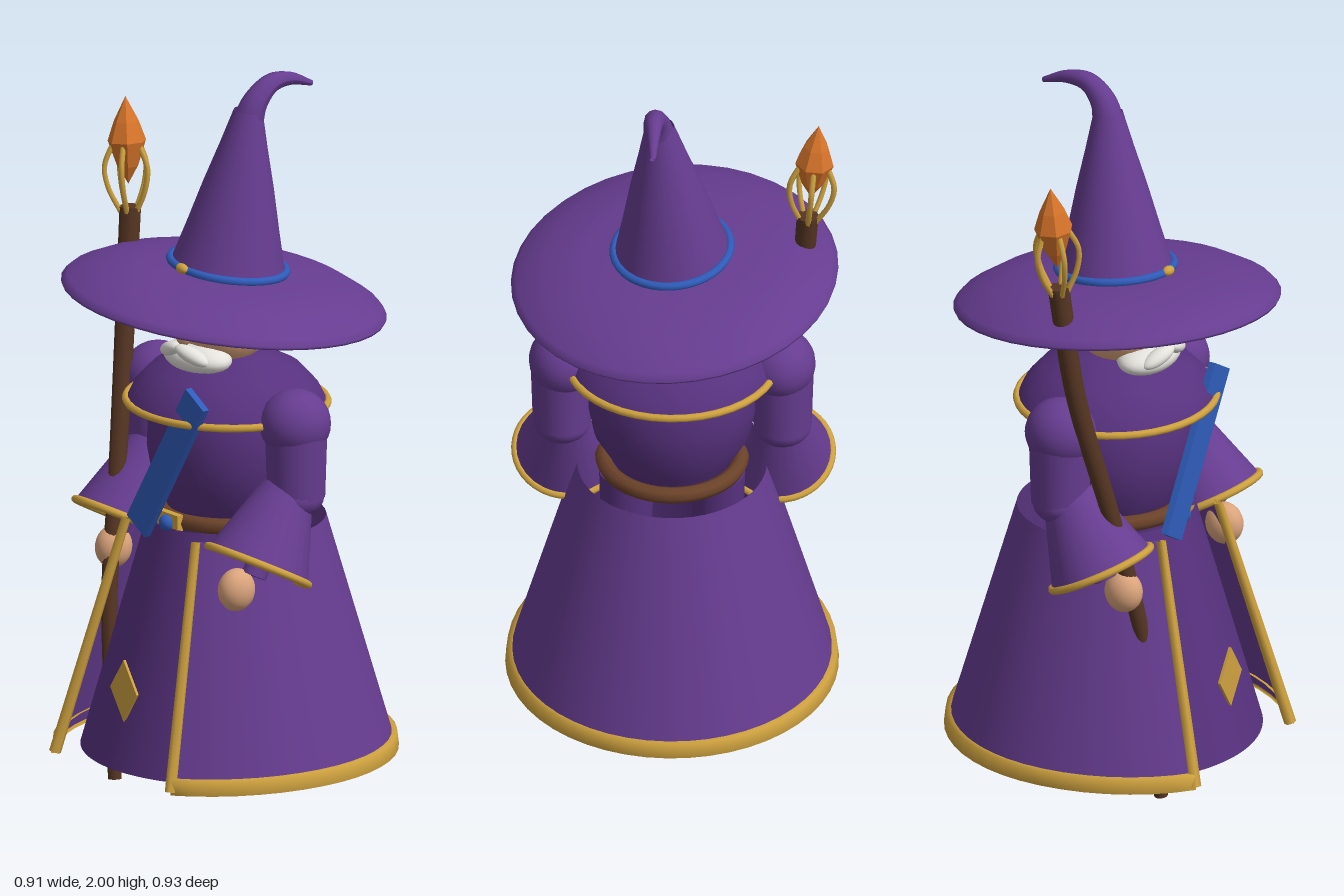
import * as THREE from 'three';
import { RoundedBoxGeometry } from 'three/addons/geometries/RoundedBoxGeometry.js';

const V = (x, y, z) => new THREE.Vector3(x, y, z);
const mat = (name, color, double) => {
  const m = new THREE.MeshStandardMaterial({ color });
  m.name = name;
  if (double) m.side = THREE.DoubleSide;
  return m;
};

export function createModel() {
  const purple = mat('purple cloth', 0x663c90, true);
  const dark = mat('dark purple cloth', 0x57317e, true);
  const gold = mat('gold', 0xcfa23f, true);
  const blue = mat('blue', 0x2f5cba);
  const leather = mat('brown leather', 0x6b4229);
  const wood = mat('dark wood', 0x553522);
  const skin = mat('skin', 0xdba47c);
  const white = mat('white hair', 0xe4e2dc);
  const flameColor = mat('flame orange', 0xd9752a);
  flameColor.flatShading = true;
  const black = mat('black', 0x2a2422);

  const model = new THREE.Group();
  const add = (name, geo, material, pos = [0, 0, 0], rot = [0, 0, 0], parent = model) => {
    const m = new THREE.Mesh(geo, material);
    m.name = name;
    m.position.set(...pos);
    m.rotation.set(...rot);
    parent.add(m);
    return m;
  };
  const ball = (name, material, pos, size, rot, parent) => {
    const m = add(name, new THREE.SphereGeometry(1, 24, 16), material, pos, rot, parent);
    m.scale.set(...size);
    return m;
  };
  const lathe = (pts, start = 0, length = Math.PI * 2) =>
    new THREE.LatheGeometry(pts.map(p => new THREE.Vector2(...p)), 40, start, length);
  const ring = (r, t) => new THREE.TorusGeometry(r, t, 8, 40).rotateX(Math.PI / 2);
  // Tube whose radius changes from r0 to r1, with closed ends
  const taperedTube = (points, r0, r1, seg = 24, sides = 12) => {
    const curve = new THREE.CatmullRomCurve3(points);
    const geo = new THREE.TubeGeometry(curve, seg, 1, sides);
    const p = geo.attributes.position, v = V(0, 0, 0);
    for (let i = 0; i < p.count; i++) {
      const t = Math.floor(i / (sides + 1)) / seg;
      const c = curve.getPointAt(t);
      v.fromBufferAttribute(p, i).sub(c).multiplyScalar(r0 + (r1 - r0) * t).add(c);
      p.setXYZ(i, v.x, v.y, v.z);
    }
    geo.computeVertexNormals();
    return geo;
  };
  // Robe surfaces are a little deeper toward the front
  const deepen = geo => {
    const p = geo.attributes.position;
    for (let i = 0; i < p.count; i++) p.setZ(i, p.getZ(i) * (p.getZ(i) > 0 ? 1.12 : 1.02));
    geo.computeVertexNormals();
    return geo;
  };

  // Robe skirt, open at the front, with inner panel and gold hem
  const open = 0.6, sweep = Math.PI * 2 - 2 * open;
  add('skirt', deepen(lathe([[0.447, 0.1], [0.26, 0.755]], open, sweep)), purple);
  add('hem', deepen(lathe([[0.445, 0.09], [0.457, 0.09], [0.452, 0.133], [0.43, 0.133]], open, sweep)), gold);
  add('frontPanel', lathe([[0.41, 0.1], [0.225, 0.76]], -0.8, 1.6), dark);
  for (const s of [-1, 1]) {
    add('frontTrim', taperedTube([V(s * 0.15, 0.755, 0.245), V(s * 0.25, 0.095, 0.415)], 0.013, 0.017, 4, 6), gold);
  }
  const diamond = new THREE.Shape([[0, 0.088], [-0.057, 0], [0, -0.088], [0.057, 0]].map(p => new THREE.Vector2(...p)));
  add('diamond', new THREE.ExtrudeGeometry(diamond, { depth: 0.008, bevelEnabled: false }), gold, [0, 0.32, 0.37]);

  // Torso, belt, buckle, shoulder cape and sash
  add('torso', lathe([[0.15, 0.74], [0.175, 0.79], [0.215, 0.86], [0.232, 0.95], [0.228, 1.04], [0.2, 1.12], [0.1, 1.2]])
    .scale(1, 1, 0.9), dark, [0, 0, 0.013]);
  add('belt', ring(0.188, 0.023), leather, [0, 0.775, 0.003]);
  add('buckle', new THREE.BoxGeometry(0.085, 0.055, 0.02), gold, [0, 0.772, 0.212]);
  ball('buckleGem', blue, [0, 0.772, 0.225], [0.023, 0.023, 0.02]);
  add('cape', lathe([[0.285, 1.085], [0.265, 1.125], [0.215, 1.178], [0.13, 1.22], [0.07, 1.235]])
    .scale(1, 1, 0.94), dark, [0, 0, 0.012]);
  add('capeTrim', ring(0.287, 0.011).scale(1, 1, 0.94), gold, [0, 1.085, 0.012]);
  add('sash', new THREE.BoxGeometry(0.09, 0.49, 0.02), blue, [0.03, 0.955, 0.245], [0, 0, -0.545]);

  // Arms, sleeves and hands; legs and boots
  for (const s of [-1, 1]) {
    ball('shoulder', purple, [s * 0.297, 1.085, 0.013], [0.096, 0.096, 0.1]);
    add('upperArm', new THREE.CylinderGeometry(0.086, 0.08, 0.19, 24), purple, [s * 0.302, 0.975, 0.014]);
    ball('elbow', purple, [s * 0.302, 0.88, 0.018], [0.08, 0.06, 0.08]);
    const sleeve = new THREE.Group();
    sleeve.name = 'sleeve';
    sleeve.position.set(s * 0.287, 0.8, 0.083);
    sleeve.rotation.x = -0.49;
    model.add(sleeve);
    add('sleeveCloth', new THREE.CylinderGeometry(0.072, 0.147, 0.226, 28, 1, true), purple, [0, 0, 0], [0, 0, 0], sleeve);
    add('cuffTrim', ring(0.147, 0.011), gold, [0, -0.113, 0], [0, 0, 0], sleeve);
    add('wrist', new THREE.CylinderGeometry(0.035, 0.035, 0.15, 16), purple, [0, -0.07, 0], [0, 0, 0], sleeve);
    ball('hand', skin, [s * 0.265, 0.637, 0.195], [0.046, 0.06, 0.055]);

    add('leg', new THREE.CylinderGeometry(0.075, 0.064, 0.45, 20), dark, [s * 0.125, 0.5, 0]);
    add('bootShaft', new THREE.CylinderGeometry(0.066, 0.06, 0.24, 20), leather, [s * 0.128, 0.18, 0]);
    add('bootFoot', new RoundedBoxGeometry(0.125, 0.085, 0.225, 4, 0.035), leather, [s * 0.13, 0.064, 0.053]);
  }

  // Head
  add('neck', new THREE.CylinderGeometry(0.07, 0.08, 0.1, 20), skin, [0, 1.2, 0.01]);
  ball('face', skin, [0, 1.32, 0.025], [0.128, 0.13, 0.13]);
  ball('hair', white, [0, 1.34, -0.004], [0.138, 0.135, 0.128]);
  ball('nose', skin, [0, 1.302, 0.162], [0.024, 0.034, 0.026]);
  ball('beard', white, [0, 1.228, 0.115], [0.118, 0.045, 0.075]);
  for (const s of [-1, 1]) {
    ball('ear', skin, [s * 0.133, 1.307, 0.017], [0.016, 0.028, 0.024]);
    ball('eye', black, [s * 0.05, 1.328, 0.14], [0.015, 0.015, 0.01]);
    ball('eyebrow', white, [s * 0.052, 1.362, 0.137], [0.032, 0.008, 0.012], [0, s * 0.3, s * 0.3]);
    ball('moustache', white, [s * 0.045, 1.25, 0.172], [0.056, 0.021, 0.026], [0, s * 0.35, -s * 0.35]);
  }

  // Tilted pointed hat
  const hat = new THREE.Group();
  hat.name = 'hat';
  hat.position.set(0, 1.462, 0.008);
  hat.rotation.set(-0.1, 0, -0.075);
  model.add(hat);
  const none = [0, 0, 0];
  add('brim', lathe([[0.1, -0.02], [0.25, -0.024], [0.35, -0.05], [0.43, -0.094], [0.447, -0.095], [0.45, -0.087],
    [0.435, -0.07], [0.36, -0.03], [0.25, -0.004], [0.14, 0.002]]), purple, none, none, hat);
  add('crown', lathe([[0.16, -0.005], [0.128, 0.115], [0.098, 0.235], [0.066, 0.35], [0.04, 0.45]]), purple, none, none, hat);
  add('hatBand', ring(0.16, 0.012), blue, [0, 0.008, 0], none, hat);
  ball('hatStud', gold, [0.004, 0.012, 0.168], [0.022, 0.014, 0.014], none, hat);
  add('hatTip', taperedTube([V(0.032, 1.87, -0.033), V(0.04, 1.93, -0.055), V(0.045, 1.975, -0.105),
    V(0.045, 1.978, -0.17), V(0.045, 1.95, -0.25)], 0.045, 0.008), purple);

  // Staff with gold prongs around a flame
  add('staff', taperedTube([V(-0.178, 0.005, 0.262), V(-0.235, 0.5, 0.235), V(-0.28, 0.84, 0.17),
    V(-0.345, 1.23, 0.09), V(-0.37, 1.555, 0.05)], 0.019, 0.03, 32), wood);
  add('staffTop', new THREE.CylinderGeometry(0.03, 0.03, 0.01, 12), wood, [-0.37, 1.552, 0.05]);
  const head = new THREE.Group();
  head.name = 'staffHead';
  head.position.set(-0.372, 1.55, 0.052);
  head.rotation.set(-0.03, 0, 0.09);
  model.add(head);
  const prong = new THREE.CatmullRomCurve3([V(0.022, -0.01, 0), V(0.055, 0.06, 0), V(0.064, 0.12, 0), V(0.045, 0.17, 0), V(0.022, 0.21, 0)]);
  for (let i = 0; i < 5; i++) {
    add('prong', new THREE.TubeGeometry(prong, 14, 0.008, 6), gold, none, [0, i * Math.PI * 0.4 + 0.3, 0], head);
  }
  add('flame', new THREE.LatheGeometry([[0, 0.07], [0.03, 0.12], [0.054, 0.19], [0.035, 0.245], [0, 0.315]]
    .map(p => new THREE.Vector2(...p)), 7), flameColor, none, none, head);
  return model;
}
